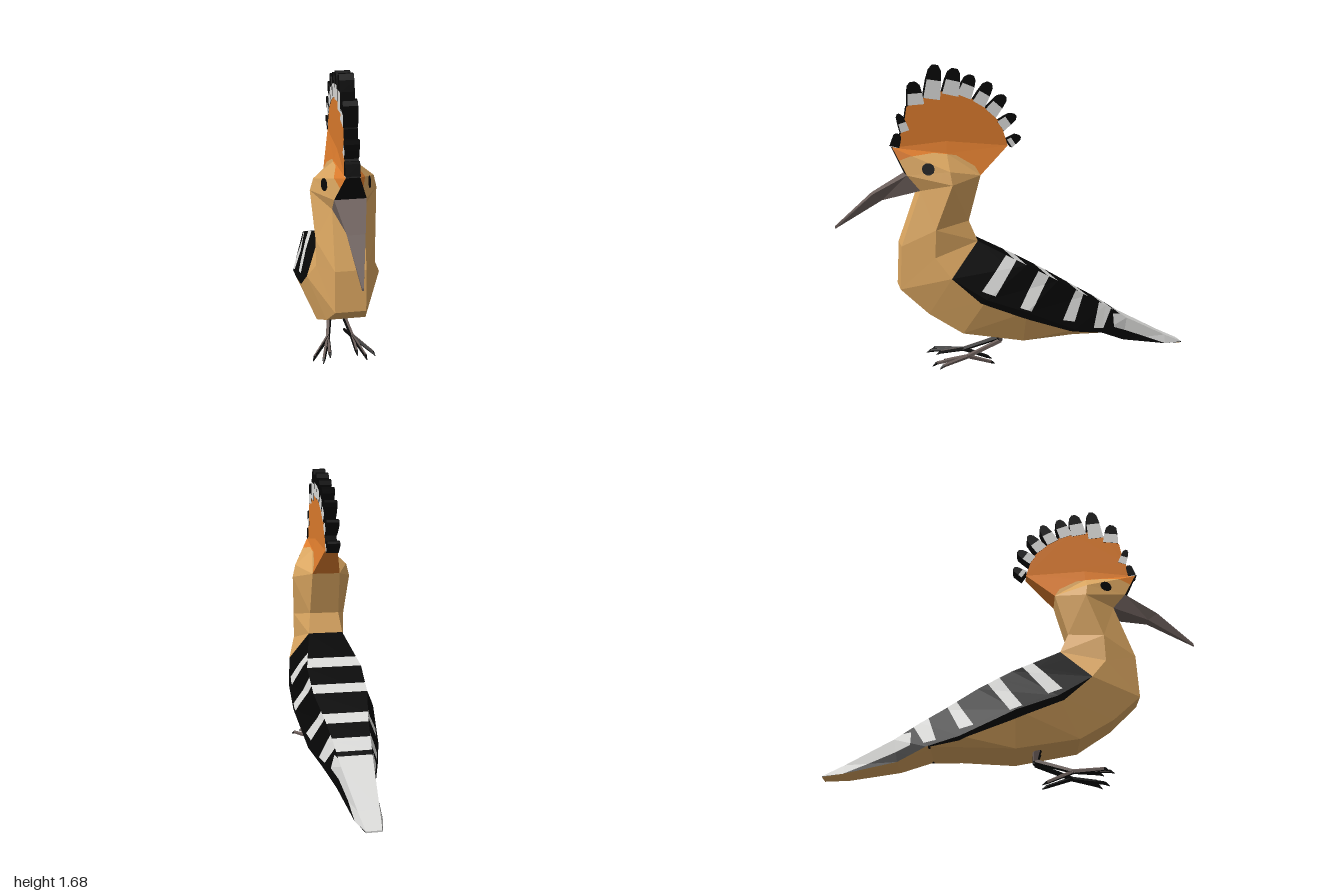
import * as THREE from 'three';

const material = (name, color) => {
  const m = new THREE.MeshStandardMaterial({ color });
  m.name = name;
  return m;
};
const tan = material('tan plumage', 0xd9a560);
const orange = material('orange crest', 0xdd7c2d);
const black = material('black plumage', 0x060606);
const white = material('white plumage', 0xdcdcda);
const horn = material('grey brown horn', 0x6c5f5b);

const V = (x, y, z) => new THREE.Vector3(x, y, z);

// Flat-shaded mesh from a list of convex faces
function faceMesh(name, faces, mat) {
  const pos = [];
  for (const f of faces)
    for (let i = 1; i < f.length - 1; i++)
      for (const p of [f[0], f[i], f[i + 1]]) pos.push(p.x, p.y, p.z);
  const g = new THREE.BufferGeometry();
  g.setAttribute('position', new THREE.Float32BufferAttribute(pos, 3));
  g.computeVertexNormals();
  const mesh = new THREE.Mesh(g, mat);
  mesh.name = name;
  return mesh;
}

// Two triangles between neighbouring points k, n of two rings; the diagonal mirrors on the right half
function strip(r, s, k) {
  const n = (k + 1) % r.length, a = r[k], b = r[n], c = s[n], d = s[k];
  const tris = k < r.length / 2 ? [[a, d, c], [a, c, b]] : [[a, d, b], [b, d, c]];
  return tris.filter(([p, q, t]) => q.clone().sub(p).cross(t.clone().sub(p)).length() > 1e-7);
}

// Part of a convex face where the signed distance is positive
function clip(face, dist) {
  const out = [];
  face.forEach((p, i) => {
    const q = face[(i + 1) % face.length], a = dist(p), b = dist(q);
    if (a >= 0) out.push(p);
    if (a * b < 0) out.push(p.clone().lerp(q, a / (a - b)));
  });
  return out;
}

// Split faces into those inside and outside a convex (z, y) polygon
function carve(faces, poly) {
  const n = poly.length, outside = [];
  let inside = faces, area = 0;
  poly.forEach(([z, y], i) => {
    const [z2, y2] = poly[(i + 1) % n];
    area += z * y2 - z2 * y;
  });
  poly.forEach(([z, y], i) => {
    const [z2, y2] = poly[(i + 1) % n];
    const dist = p => Math.sign(area) * ((z2 - z) * (p.y - y) - (y2 - y) * (p.z - z));
    const keep = [];
    for (const f of inside) {
      const a = clip(f, dist), b = clip(f, p => -dist(p));
      if (a.length > 2) keep.push(a);
      if (b.length > 2) outside.push(b);
    }
    inside = keep;
  });
  return [inside, outside];
}

// Body rings from crown to tail tip: front/belly, side and back points as x, y, z
const sections = [
  [.035, 1.245, .69, .034, 1.275, .4, .035, 1.245, .06],
  [.035, 1.245, .69, .05, 1.21, .4, .035, 1.245, .06],
  [.08, 1.1, .62, .155, 1.12, .4, .08, 1.09, .222],
  [.08, 1.015, .55, .172, 1.05, .39, .08, 1.09, .222],
  [.08, .717, .656, .155, .81, .48, .085, .845, .29],
  [.08, .48, .667, .155, .66, .485, .1, .733, .244],
  [.105, .34, .517, .195, .55, .404, .1, .733, .244],
  [.135, .225, .335, .225, .43, .22, .155, .594, -.02],
  [.155, .166, 0, .232, .35, 0, .15, .495, -.2],
  [.14, .177, -.287, .195, .22, -.287, .115, .39, -.38],
  [.11, .177, -.44, .15, .177, -.46, .1, .322, -.5],
  [.075, .107, -.61, .1, .11, -.61, .085, .235, -.635],
  [.055, .053, -.886, .07, .056, -.886, .055, .105, -.886],
  [.04, .044, -1, .042, .047, -1, .04, .052, -1],
];
const cheek = [[.75, 1], [.7, 1.16], [.6, 1.2], [.47, 1.215], [.35, 1.2], [.25, 1.14], [.2, 1.05]];
const eye = Array.from({ length: 10 }, (_, i) =>
  [.51 + .033 * Math.cos(i * Math.PI / 5), 1.134 + .033 * Math.sin(i * Math.PI / 5)]);
const wingArea = [[.404, .55], [.25, .41], [-.02, .3], [-.287, .203], [-.45, .175], [-.45, .8], [.404, .8]];
const sideStripes = [
  [[.07, .68], [.01, .66], [.169, .445], [.244, .475]],
  [[-.1, .58], [-.165, .55], [-.03, .35], [.035, .375]],
  [[-.32, .445], [-.37, .425], [-.29, .262], [-.217, .28]],
  [[-.46, .355], [-.54, .31], [-.474, .2], [-.41, .21]],
  [[-.545, .27], [-.545, .195], [-.89, .055], [-1.02, .05], [-1.02, .1], [-.62, .26]],
];
const backStripes = [[-.02, .05], [-.2, -.14], [-.39, -.33], [-.555, -.48], [-1.05, -.58]]
  .map(([a, b]) => [[a, 0], [b, 0], [b, 2], [a, 2]]);

function buildBody() {
  const rings = sections.map(s => {
    const half = [0, 3, 6].map(i => V(s[i], s[i + 1], s[i + 2]));
    return [...half, ...half.map(p => V(-p.x, p.y, p.z)).reverse()];
  });
  const parts = { body: [], forehead: [], crestBase: [], eyes: [], wings: [], wingStripes: [] };
  for (let i = 0; i < rings.length - 1; i++) for (let k = 0; k < 6; k++) {
    const flank = k === 0 || k === 4;
    let faces = strip(rings[i], rings[i + 1], k), inside;
    if (i < 3 && flank) {
      [inside, faces] = carve(faces, eye);
      parts.eyes.push(...inside);
    }
    if (i < 2 && k === 5) parts.forehead.push(...faces);
    else if (i < 2) {
      if (k !== 2) {
        [inside, faces] = carve(faces, cheek);
        parts.body.push(...inside);
      }
      parts.crestBase.push(...faces);
    } else if (i >= 6 && k >= 1 && k <= 3) {
      for (const stripe of k === 2 ? backStripes : sideStripes) {
        [inside, faces] = carve(faces, stripe);
        parts.wingStripes.push(...inside);
      }
      parts.wings.push(...faces);
    } else {
      if (i >= 6 && flank) {
        [inside, faces] = carve(faces, wingArea);
        parts.wings.push(...inside);
      }
      parts.body.push(...faces);
    }
  }
  parts.wingStripes.push([...rings[rings.length - 1]].reverse());
  const mats = { body: tan, forehead: black, crestBase: orange, eyes: black, wings: black, wingStripes: white };
  return Object.keys(parts).map(name => faceMesh(name, parts[name], mats[name]));
}

// Upright plate from a (z, y) outline, with a black rim
function plate(name, outline, half, mat) {
  const shape = new THREE.Shape(outline.map(p => new THREE.Vector2(...p)));
  const g = new THREE.ExtrudeGeometry(shape, { depth: half * 2, bevelEnabled: false });
  g.translate(0, 0, -half).rotateY(-Math.PI / 2);
  const mesh = new THREE.Mesh(g, [mat, black]);
  mesh.name = name;
  return mesh;
}

function buildCrest() {
  const crest = new THREE.Group();
  crest.name = 'crest';
  crest.add(plate('crestFan', [[.6, 1.2], [.69, 1.245], [.63, 1.34], [.61, 1.46], [.53, 1.5], [.46, 1.54],
    [.32, 1.535], [.24, 1.49], [.17, 1.44], [.1, 1.37], [.06, 1.245], [.2, 1.2]], .034, orange));
  // Feathers: base z, y, tip z, y, width, where the black tip starts
  const feathers = [
    [.675, 1.245, .655, 1.315, .05, .05], [.62, 1.33, .65, 1.42, .045, .5],
    [.56, 1.47, .57, 1.59, .085, .5], [.475, 1.5, .45, 1.68, .085, .55],
    [.375, 1.52, .345, 1.66, .085, .55], [.3, 1.51, .255, 1.625, .075, .55],
    [.22, 1.47, .155, 1.585, .07, .5], [.155, 1.42, .075, 1.515, .07, .5],
    [.1, 1.35, .015, 1.41, .06, .5], [.05, 1.255, -.01, 1.295, .05, .35],
  ];
  for (const [z0, y0, z1, y1, w, t] of feathers) {
    const l = Math.hypot(z1 - z0, y1 - y0), dz = (z1 - z0) / l, dy = (y1 - y0) / l;
    const at = (s, h) => [z0 + dz * l * s - dy * w * h, y0 + dy * l * s + dz * w * h];
    crest.add(plate('featherBase', [at(0, -.53), at(t, -.46), at(t, .46), at(0, .53)], .036, white));
    crest.add(plate('featherTip', [at(t, -.46), at(.85, -.36), at(1, -.14), at(1, .14), at(.85, .36), at(t, .46)],
      .036, black));
  }
  return crest;
}

// Curved beak narrowing through three four-cornered sections
function buildBeak() {
  const rings = [[.08, 1.1, .62, .08, 1.015, .55], [.045, 1, .8, .03, .965, .75], [.004, .83, 1, .004, .815, 1]]
    .map(([x, y, z, u, v, w]) => [V(x, y, z), V(u, v, w), V(-u, v, w), V(-x, y, z)]);
  const faces = [[...rings[2]].reverse()];
  for (let i = 0; i < 2; i++) for (let k = 0; k < 4; k++) faces.push(...strip(rings[i], rings[i + 1], k));
  return faceMesh('beak', faces, horn);
}

// Tapered five-sided rod between two points, horn on its outer and upper faces and black elsewhere
function rod(name, s, a, b, r0, r1, mats) {
  const d = b.clone().sub(a);
  const g = new THREE.CylinderGeometry(r1, r0, d.length(), 5).toNonIndexed();
  g.applyQuaternion(new THREE.Quaternion().setFromUnitVectors(V(0, 1, 0), d.normalize()));
  g.computeVertexNormals();
  g.clearGroups();
  const n = g.attributes.normal;
  for (let i = 0; i < n.count; i += 3)
    g.addGroup(i, 3, s * n.getX(i) + .5 * n.getY(i) > .2 ? 0 : 1);
  const mesh = new THREE.Mesh(g, mats);
  mesh.name = name;
  mesh.position.copy(a).lerp(b, .5);
  return mesh;
}

function buildLeg(name, s) {
  const leg = new THREE.Group();
  leg.name = name;
  const P = (x, y, z) => V(s * x, y, z);
  const knee = P(.032, .135, .105), ankle = P(.07, .07, .3), skin = [horn, black];
  leg.add(rod('thigh', s, P(.042, .2, .115), knee, .028, .014, skin));
  leg.add(rod('shin', s, knee, ankle, .015, .013, skin));
  // Three front toes and one back toe, each with a claw
  for (const [x, y, z] of [[.16, .058, .45], [.115, .06, .48], [.075, .058, .43], [.048, .02, .165]]) {
    const tip = P(x, y, z), out = tip.clone().sub(ankle).setY(0).normalize();
    leg.add(rod('toe', s, ankle, tip, .013, .01, skin));
    leg.add(rod('claw', s, tip, tip.clone().addScaledVector(out, .026).add(V(0, -.014, 0)), .01, .002, [black, black]));
  }
  return leg;
}

export function createModel() {
  const bird = new THREE.Group();
  bird.name = 'crestedBird';
  bird.add(...buildBody(), buildCrest(), buildBeak(), buildLeg('leftLeg', 1), buildLeg('rightLeg', -1));
  return bird;
}
